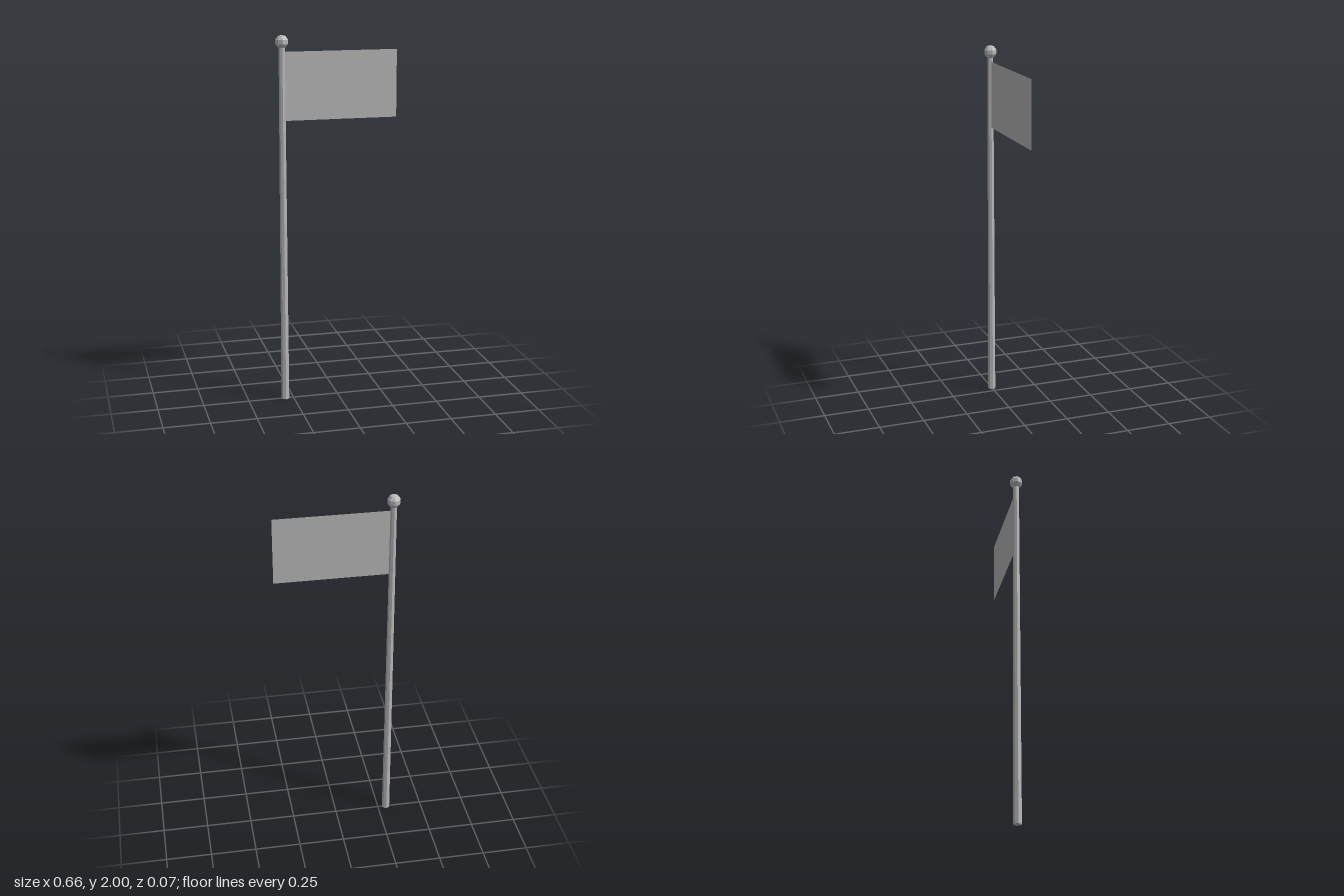
import * as THREE from 'three';

export function createModel() {
  const model = new THREE.Group();
  const poleX = -0.296;

  const grey = new THREE.MeshStandardMaterial({ color: 0xb8b8b8, flatShading: true, side: THREE.DoubleSide });
  grey.name = 'plain grey';

  const add = (name, geometry, x, y) => {
    const mesh = new THREE.Mesh(geometry, grey);
    mesh.name = name;
    mesh.position.set(x, y, 0);
    model.add(mesh);
  };

  // Tapered eight-sided pole
  const poleHeight = 1.95;
  add('pole', new THREE.CylinderGeometry(0.0165, 0.0222, poleHeight, 8), poleX, poleHeight / 2);

  // Faceted ball on top
  const ballRadius = 0.036;
  add('finial', new THREE.SphereGeometry(ballRadius, 8, 5), poleX, 2 - ballRadius);

  // Flat banner attached to the pole
  const left = poleX + 0.01, right = 0.326, bottom = 1.55, top = 1.912;
  add('flag', new THREE.PlaneGeometry(right - left, top - bottom), (left + right) / 2, (top + bottom) / 2);

  return model;
}
